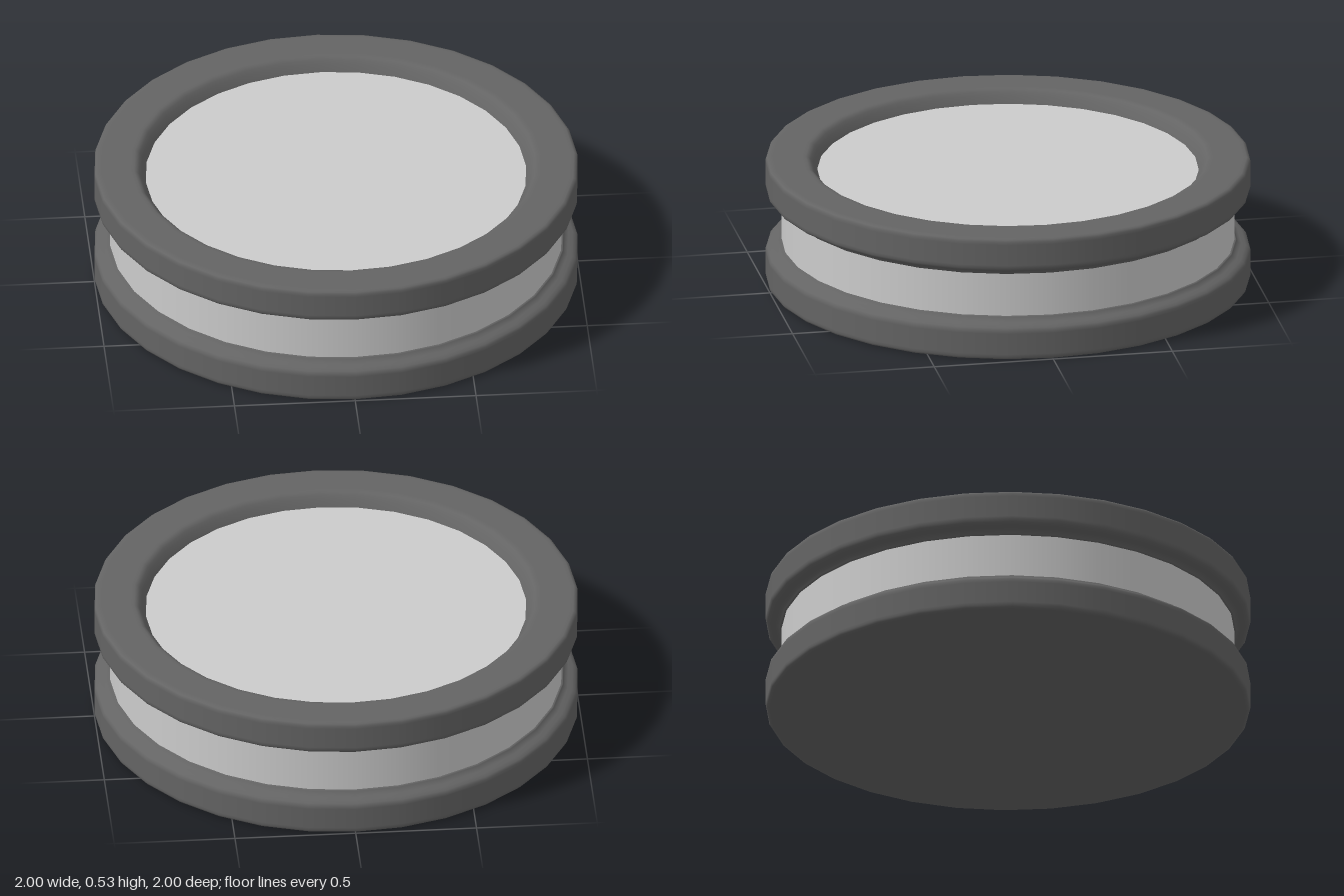
import * as THREE from 'three';

const HEIGHT = 0.53;
const SEGMENTS = 32;

// Outer edge of a flange, from its flat outer face round to the groove
const flangeEdge = [
  [0.97, 0], [0.985, 0], [0.995, 0.004], [1, 0.013], [1, 0.025], [1, 0.115],
  [1, 0.128], [0.993, 0.138], [0.98, 0.146], [0.962, 0.152], [0.95, 0.158],
  [0.943, 0.168], [0.94, 0.172], [0.93, 0.172],
];

function lathe(name, points, material) {
  const profile = points.map(([r, y]) => new THREE.Vector2(r, y));
  const mesh = new THREE.Mesh(new THREE.LatheGeometry(profile, SEGMENTS), material);
  mesh.name = name;
  return mesh;
}

export function createModel() {
  const group = new THREE.Group();
  group.name = 'flangedDisc';
  const light = new THREE.MeshStandardMaterial({ color: 0xcccccc });
  const dark = new THREE.MeshStandardMaterial({ color: 0x646464 });

  // Lower flange with closed underside
  group.add(lathe('lowerFlange', [[0, 0], ...flangeEdge], dark));

  // Upper flange: mirrored edge, then a bevelled lip down into the recess
  const upperEdge = flangeEdge.map(([r, y]) => [r, HEIGHT - y]).reverse();
  const lip = [
    [0.85, HEIGHT], [0.835, HEIGHT], [0.824, 0.526], [0.815, 0.518],
    [0.805, 0.505], [0.79, 0.482], [0.785, 0.47],
  ];
  group.add(lathe('upperFlange', [...upperEdge, ...lip], dark));

  // Light band at the bottom of the groove
  group.add(lathe('grooveBand', [[0.935, 0.16], [0.935, 0.37]], light));

  // Recessed top plate
  const plate = new THREE.Mesh(new THREE.CircleGeometry(0.787, SEGMENTS), light);
  plate.name = 'topPlate';
  plate.rotation.x = -Math.PI / 2;
  plate.position.y = 0.475;
  group.add(plate);

  return group;
}
